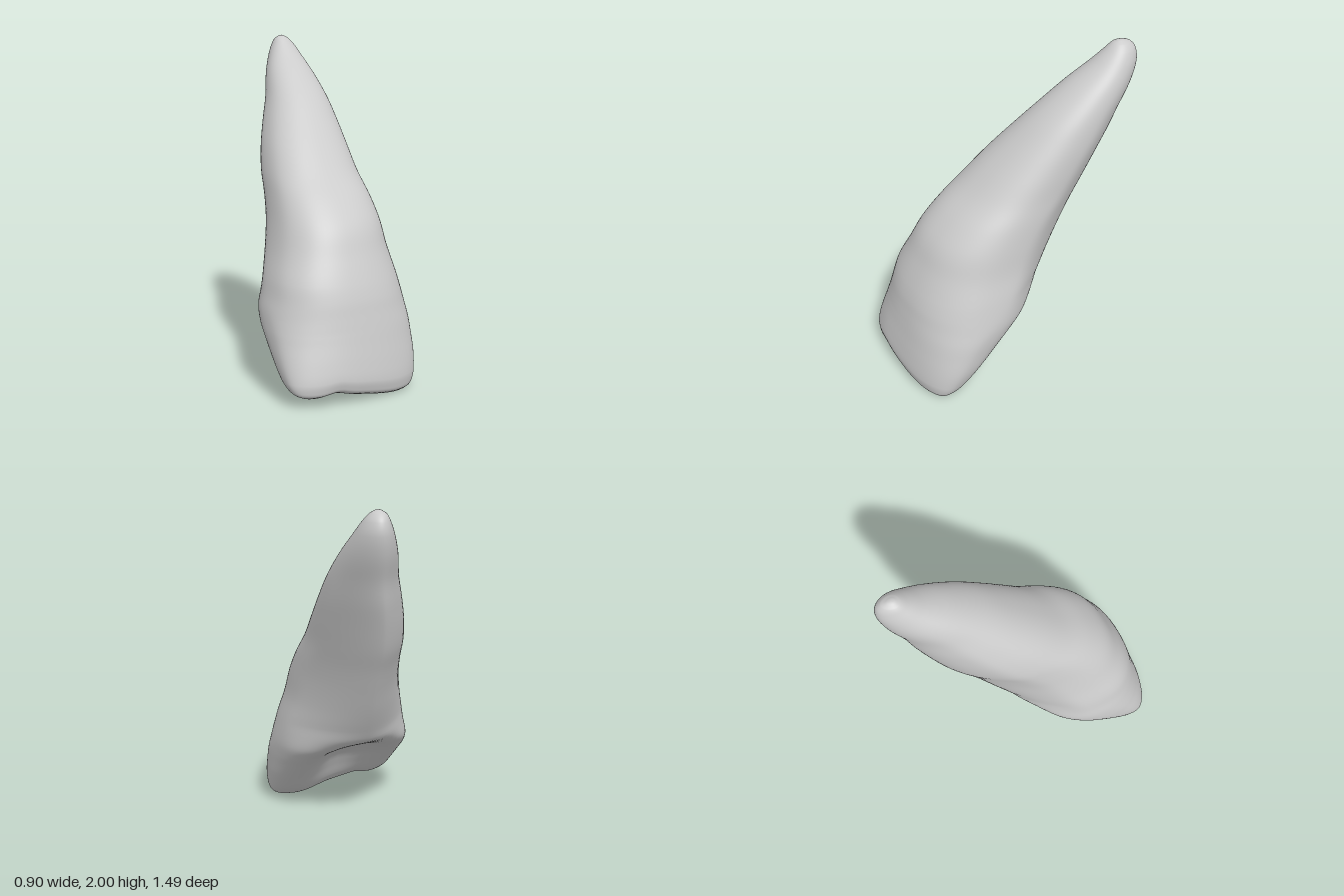
import * as THREE from 'three';

const { smoothstep, clamp, lerp } = THREE.MathUtils;

// Level sections: height, x min, x max, z back, z front
const SECTIONS = [
  [0.00, -0.36, 0.32, 0.56, 0.69],
  [0.02, -0.405, 0.352, 0.50, 0.725],
  [0.05, -0.43, 0.378, 0.45, 0.738],
  [0.10, -0.445, 0.40, 0.385, 0.745],
  [0.20, -0.45, 0.425, 0.285, 0.732],
  [0.32, -0.445, 0.438, 0.16, 0.71],
  [0.40, -0.438, 0.444, 0.06, 0.695],
  [0.48, -0.422, 0.445, -0.07, 0.678],
  [0.56, -0.395, 0.438, -0.16, 0.66],
  [0.65, -0.365, 0.425, -0.22, 0.63],
  [0.79, -0.308, 0.40, -0.30, 0.57],
  [0.94, -0.258, 0.39, -0.375, 0.50],
  [1.07, -0.22, 0.385, -0.44, 0.39],
  [1.20, -0.182, 0.382, -0.51, 0.245],
  [1.34, -0.13, 0.388, -0.57, 0.11],
  [1.48, -0.064, 0.393, -0.623, -0.025],
  [1.62, 0.008, 0.39, -0.665, -0.165],
  [1.76, 0.075, 0.377, -0.72, -0.33],
  [1.87, 0.139, 0.353, -0.745, -0.475],
  [1.94, 0.180, 0.325, -0.737, -0.555],
  [1.98, 0.207, 0.293, -0.708, -0.60],
  [1.997, 0.235, 0.262, -0.67, -0.63],
];
const SIDES = 80;
const STEPS = 5;

// Smooth blend through the sections, with slopes that respect uneven spacing
function sectionAt(s) {
  const last = SECTIONS.length - 1;
  const i = Math.min(Math.floor(s), last - 1);
  const t = s - i, t2 = t * t, t3 = t2 * t;
  const [a, b, c, d] = [i - 1, i, i + 1, i + 2].map(k => SECTIONS[clamp(k, 0, last)]);
  const gap = c[0] - b[0];
  return b.map((value, k) => {
    if (k === 0) return value + gap * t;
    const m0 = gap * (c[k] - a[k]) / (c[0] - a[0]);
    const m1 = gap * (d[k] - b[k]) / (d[0] - b[0]);
    return (2 * t3 - 3 * t2 + 1) * value + (t3 - 2 * t2 + t) * m0 + (3 * t2 - 2 * t3) * c[k] + (t3 - t2) * m1;
  });
}

const power = (v, e) => Math.sign(v) * Math.pow(Math.abs(v), e);
const bell = (v) => Math.exp(-v * v);

function toothGeometry() {
  const positions = [], indices = [];
  const rows = (SECTIONS.length - 1) * STEPS + 1;

  for (let r = 0; r < rows; r++) {
    const [h, x0, x1, z0, z1] = sectionAt(r / STEPS);
    const cx = (x0 + x1) / 2, rx = (x1 - x0) / 2;
    const cz = (z0 + z1) / 2, rz = (z1 - z0) / 2;
    // Back of the section: boxy at the crown, narrowing above it, round at the tip
    const back = 0.8 + 0.42 * smoothstep(h, 0.36, 0.66) - 0.22 * smoothstep(h, 1.4, 1.9);
    const front = 0.88 + 0.12 * smoothstep(h, 1.2, 1.9);
    const hollow = 0.22 * Math.min(1, 0.2 + h / 0.36) * (1 - smoothstep(h, 0.4, 0.58));
    const lean = rz * smoothstep(h, 0.3, 0.7);
    const edgeFade = Math.max(0, 1 - h / 0.4);
    for (let j = 0; j < SIDES; j++) {
      const angle = j / SIDES * Math.PI * 2;
      const c = Math.cos(angle), s = Math.sin(angle);
      const e = lerp(back, front, smoothstep(s, -0.5, 0.5));
      const u = power(c, e), v = power(s, e);
      // The root tapers and drifts left towards the back
      const x = cx + u * (rx + 0.12 * lean * v) - 0.1 * lean * v;
      // Scooped back of the crown between its two side ridges
      const scoop = hollow * (bell(u / 0.5) - 0.2) * Math.max(0, -v);
      // Uneven biting edge, higher on the right with a small notch
      const rise = 0.055 * smoothstep(-x, -0.25, 0.2) + 0.018 * bell((x + 0.2) / 0.07);
      positions.push(x, h + rise * edgeFade, cz + rz * v + scoop);
    }
  }

  // Walls
  for (let r = 0; r < rows - 1; r++) {
    for (let j = 0; j < SIDES; j++) {
      const a = r * SIDES + j, b = r * SIDES + (j + 1) % SIDES;
      indices.push(a, a + SIDES, b, b, a + SIDES, b + SIDES);
    }
  }

  // Biting edge: strips join the front rim to the back rim
  for (let j = 0; j < SIDES / 2; j++) {
    const f0 = j, f1 = j + 1;
    const b0 = (SIDES - j) % SIDES, b1 = SIDES - j - 1;
    if (f0 !== b0) indices.push(f0, f1, b0);
    if (f1 !== b1) indices.push(f1, b1, b0);
  }

  // Root tip
  const top = (rows - 1) * SIDES, tip = positions.length / 3;
  positions.push(0.248, 2, -0.65);
  for (let j = 0; j < SIDES; j++) indices.push(top + j, tip, top + (j + 1) % SIDES);

  const geometry = new THREE.BufferGeometry();
  geometry.setAttribute('position', new THREE.Float32BufferAttribute(positions, 3));
  geometry.setIndex(indices);
  geometry.computeVertexNormals();
  return geometry;
}

export function createModel() {
  const group = new THREE.Group();
  group.name = 'incisor';
  const material = new THREE.MeshStandardMaterial({ color: 0xcccccc });
  const tooth = new THREE.Mesh(toothGeometry(), material);
  tooth.name = 'crownAndRoot';
  group.add(tooth);
  return group;
}
